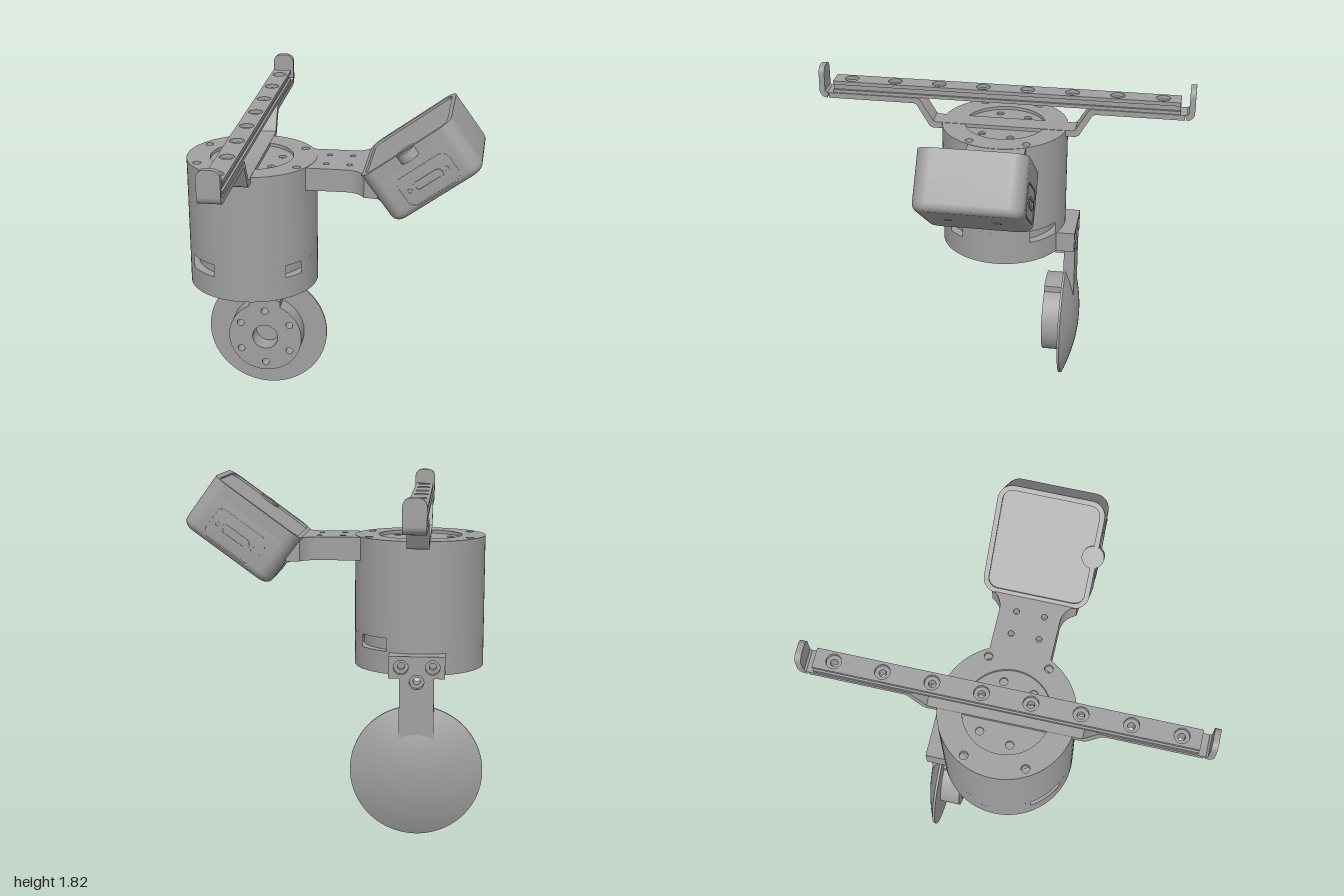
import * as THREE from 'three';
import { toCreasedNormals } from 'three/addons/utils/BufferGeometryUtils.js';

const grey = new THREE.MeshStandardMaterial({ color: 0xa0a0a0, side: THREE.DoubleSide });
grey.name = 'machined grey';

const CX = -0.427; // axis of drum, rail and wheel
const R = 0.337;   // drum and wheel radius

function add(parent, name, geo) {
  const mesh = new THREE.Mesh(toCreasedNormals(geo, 0.5), grey);
  mesh.name = name;
  parent.add(mesh);
  return mesh;
}

// Rounded rectangle centred on (cx, cy)
function roundRect(w, h, r, cx = 0, cy = 0) {
  const s = new THREE.Shape(), x = w / 2 - r, y = h / 2 - r;
  s.absarc(cx + x, cy + y, r, 0, Math.PI / 2);
  s.absarc(cx - x, cy + y, r, Math.PI / 2, Math.PI);
  s.absarc(cx - x, cy - y, r, Math.PI, Math.PI * 1.5);
  s.absarc(cx + x, cy - y, r, Math.PI * 1.5, Math.PI * 2);
  s.closePath();
  return s;
}
const poly = pts => new THREE.Shape(pts.map(p => new THREE.Vector2(...p)));
const circle = (r, x = 0, y = 0) => new THREE.Shape().absarc(x, y, r, 0, Math.PI * 2);

// Cut round holes [x, y, r]
function drill(shape, holes) {
  for (const [x, y, r] of holes) shape.holes.push(new THREE.Path().absarc(x, y, r, 0, Math.PI * 2, true));
  return shape;
}
const extrude = (shape, depth, curveSegments = 12) =>
  new THREE.ExtrudeGeometry(shape, { depth, bevelEnabled: false, curveSegments });
// Horizontal plate: shape is (x, -z), from y0 upward
const flat = (shape, y0, h, seg) => extrude(shape, h, seg).rotateX(-Math.PI / 2).translate(0, y0, 0);
// Side profile: shape is (z, y), extruded across x
const across = (shape, w) => extrude(shape, w).translate(0, 0, -w / 2).rotateY(-Math.PI / 2).scale(1, 1, 1);
const lathe = (pts, seg, start, len) =>
  new THREE.LatheGeometry(pts.map(p => new THREE.Vector2(...p)), seg, start, len);
const ring = (n, r, hole, start = 0) => Array.from({ length: n }, (_, i) => {
  const a = start + i * Math.PI * 2 / n;
  return [r * Math.cos(a), r * Math.sin(a), hole];
});

function buildDrum() {
  const g = new THREE.Group();
  g.name = 'drum';
  g.position.x = CX;
  const wall = (y0, y1) => [[0.29, y0], [R, y0], [R, y1], [0.29, y1]];
  add(g, 'drumLowerWall', lathe(wall(0.85, 0.94), 96));
  add(g, 'drumUpperWall', lathe(wall(1.007, 1.485), 96));
  // Wall between the three windows
  for (const [a, b] of [[56.5, 122.5], [152.5, 303], [333, 399.5]])
    add(g, 'drumWindowWall', lathe(wall(0.94, 1.007), 36, a * Math.PI / 180, (b - a) * Math.PI / 180));
  add(g, 'drumCore', new THREE.CylinderGeometry(0.292, 0.292, 0.56, 64).translate(0, 1.195, 0));
  // Drilled end plates
  const corners = [[0.257, 0.15], [-0.257, 0.15], [0.257, -0.15], [-0.257, -0.15]].map(p => [...p, 0.021]);
  add(g, 'drumTopRing', flat(drill(circle(R), [[0, 0, 0.215], ...corners]), 1.475, 0.029, 48));
  const inner = [[-0.118, 0.106], [0.152, 0.05], [0.12, -0.106], [-0.155, -0.05]].map(p => [...p, 0.02]);
  add(g, 'drumTopDisc', flat(drill(circle(0.216), inner), 1.475, 0.012, 48));
  add(g, 'drumBottomPlate', flat(drill(circle(R), [[0, 0, 0.12], ...ring(4, 0.25, 0.028, Math.PI / 4)]), 0.824, 0.092, 48));
  return g;
}

function buildWheel() {
  const g = new THREE.Group();
  g.name = 'wheel';
  g.position.set(CX, 0.337, 0);
  // Domed disc
  const pts = [[0, 0], [R, 0], [R, 0.012]];
  for (let i = 1; i <= 16; i++) {
    const r = R * (1 - i / 16);
    pts.push([r, 0.012 + 0.073 * (1 - (r / R) ** 2)]);
  }
  add(g, 'domedDisc', lathe(pts, 96).rotateX(-Math.PI / 2).translate(0, 0, -0.345));
  // Hub with bolt circle and raised key at the top
  const hub = new THREE.Shape();
  const a = Math.acos(0.0875 / 0.207), b = Math.acos(0.0875 / 0.24);
  hub.absarc(0, 0, 0.207, Math.PI - a, Math.PI * 2 + a);
  hub.absarc(0, 0, 0.24, b, Math.PI - b);
  hub.closePath();
  drill(hub, [[0, 0, 0.072], ...ring(6, 0.16, 0.02, Math.PI / 6)]);
  add(g, 'hub', extrude(hub, 0.106, 32).translate(0, 0, -0.346));
  return g;
}

function buildHanger() {
  const g = new THREE.Group();
  g.name = 'hanger';
  g.position.x = CX;
  const w = 0.142, n = 0.0875;
  const tee = () => poly([[-n, 0.45], [n, 0.45], [n, 0.824], [w, 0.824], [w, 0.936], [-w, 0.936], [-w, 0.824], [-n, 0.824]]);
  const holes = r => [[-0.08, 0.88, r], [0.08, 0.88, r], [0, 0.805, r]];
  add(g, 'hangerBack', extrude(drill(tee(), holes(0.037)), 0.03).translate(0, 0, -0.405));
  add(g, 'hangerFront', extrude(drill(tee(), holes(0.018)), 0.03).translate(0, 0, -0.375));
  add(g, 'hangerBlock', new THREE.BoxGeometry(w * 2, 0.112, 0.045).translate(0, 0.88, -0.3225));
  add(g, 'hangerTab', extrude(drill(poly([[-0.058, 0.766], [0.058, 0.766], [0.058, 0.83], [-0.058, 0.83]]),
    [[0, 0.805, 0.018]]), 0.055).translate(0, 0, -0.345));
  return g;
}

function buildRail() {
  const g = new THREE.Group();
  g.name = 'railAssembly';
  g.position.x = CX;
  const W = 0.112;
  const zs = [0.118, 0.356, 0.595, 0.832];
  const holes = r => zs.flatMap(z => [[0, z, r], [0, -z, r]]);
  // Grooved rail in stacked layers
  for (const [w, y, h, r] of [[0.1, 1.635, 0.018, 0.018], [0.076, 1.653, 0.028, 0.018], [0.1, 1.681, 0.02, 0.037]])
    add(g, 'rail', flat(drill(poly([[-w / 2, -0.925], [w / 2, -0.925], [w / 2, 0.925], [-w / 2, 0.925]]), holes(r)), y, h, 16));
  // Cranked strap under the rail
  const up = [[0.33, 1.472], [0.385, 1.472], [0.402, 1.482], [0.47, 1.598], [0.485, 1.606], [0.53, 1.606],
    [0.53, 1.635], [0.465, 1.635], [0.45, 1.626], [0.382, 1.512], [0.365, 1.506]];
  const strap = [...up, ...up.map(([z, y]) => [-z, y]).reverse()];
  add(g, 'strapCrank', across(poly(strap), W));
  for (const s of [-1, 1]) {
    const end = new THREE.Group();
    end.name = 'strapEnd';
    end.rotation.y = s < 0 ? Math.PI : 0;
    g.add(end);
    add(end, 'strapPlate', flat(drill(poly([[-W / 2, -0.95], [W / 2, -0.95], [W / 2, -0.53], [-W / 2, -0.53]]),
      [[0, -0.595, 0.018], [0, -0.832, 0.018]]), 1.606, 0.029));
    const bend = new THREE.Shape();
    bend.moveTo(0.95, 1.606);
    bend.absarc(0.96, 1.646, 0.04, -Math.PI / 2, 0);
    bend.lineTo(1, 1.66);
    bend.lineTo(0.97, 1.66);
    bend.lineTo(0.97, 1.645);
    bend.lineTo(0.96, 1.635);
    bend.lineTo(0.95, 1.635);
    add(end, 'strapBend', across(bend, W));
    const lip = new THREE.Shape();
    lip.moveTo(-W / 2, 1.66);
    lip.lineTo(W / 2, 1.66);
    lip.absarc(W / 2 - 0.04, 1.737, 0.04, 0, Math.PI / 2);
    lip.absarc(-W / 2 + 0.04, 1.737, 0.04, Math.PI / 2, Math.PI);
    lip.closePath();
    add(end, 'strapLip', extrude(lip, 0.03).translate(0, 0, 0.97));
  }
  return g;
}

function buildArm() {
  const g = new THREE.Group();
  g.name = 'arm';
  // Neck flaring into the housing
  const plate = () => {
    const s = new THREE.Shape();
    s.moveTo(-0.14, -0.15);
    s.lineTo(0.09, -0.15);
    s.quadraticCurveTo(0.15, -0.155, 0.18, -0.215);
    s.lineTo(0.25, -0.225);
    s.lineTo(0.25, 0.225);
    s.lineTo(0.18, 0.215);
    s.quadraticCurveTo(0.15, 0.16, 0.09, 0.155);
    s.lineTo(-0.14, 0.155);
    s.closePath();
    return s;
  };
  const holes = r => [[-0.03, 0.07, r], [0.09, 0.07, r], [-0.03, -0.07, r], [0.09, -0.07, r]];
  add(g, 'armUpper', flat(drill(plate(), holes(0.015)), 1.44, 0.062));
  add(g, 'armLower', flat(drill(plate(), holes(0.03)), 1.383, 0.057));
  const fillet = new THREE.Shape();
  fillet.moveTo(0.17, 1.383);
  fillet.lineTo(0.2, 1.383);
  fillet.quadraticCurveTo(0.265, 1.38, 0.305, 1.325);
  fillet.lineTo(0.35, 1.42);
  fillet.lineTo(0.2, 1.43);
  add(g, 'armFillet', extrude(fillet, 0.4).translate(0, 0, -0.2));
  return g;
}

function buildHousing() {
  const g = new THREE.Group();
  g.name = 'housing';
  g.position.set(0.472, 1.537, 0);
  g.rotation.z = Math.PI / 5;
  const L = 0.54, D = 0.53, H = 0.149;
  // Body with rounded lower edges
  const body = new THREE.ExtrudeGeometry(roundRect(L, D, 0.075), {
    depth: 0.19, bevelThickness: 0.04, bevelSize: 0.04, bevelOffset: -0.04, bevelSegments: 5, curveSegments: 8 });
  add(g, 'housingBody', body.rotateX(-Math.PI / 2).translate(0, -H + 0.04, 0));
  add(g, 'housingUpper', flat(roundRect(L, D, 0.075), 0, H - 0.012));
  const rim = roundRect(L, D, 0.075);
  rim.holes.push(roundRect(L - 0.05, D - 0.05, 0.05));
  add(g, 'housingRim', flat(rim, H - 0.012, 0.012));
  add(g, 'rimTab', flat(circle(0.055, 0, -0.245), H - 0.05, 0.046, 24));
  // Connector panels on both sides
  for (const s of [-1, 1]) {
    const panel = new THREE.Group();
    panel.name = 'connectorPanel';
    panel.position.set(0.01, -0.04, s * D / 2);
    panel.rotation.y = s < 0 ? Math.PI : 0;
    g.add(panel);
    const frame = roundRect(0.31, 0.17, 0.045);
    frame.holes.push(roundRect(0.295, 0.155, 0.038));
    add(panel, 'panelFrame', extrude(frame, 0.003));
    const slot = roundRect(0.17, 0.055, 0.025);
    slot.holes.push(roundRect(0.14, 0.03, 0.013));
    add(panel, 'connector', extrude(slot, 0.006));
    for (const x of [-0.108, 0.108]) add(panel, 'panelScrew', extrude(drill(circle(0.014, x), [[x, 0, 0.008]]), 0.004));
  }
  // Screw seats underneath
  for (const z of [-0.12, 0.12]) add(g, 'screwSeat', flat(drill(circle(0.02, 0.02, z), [[0.02, z, 0.013]]), -H - 0.003, 0.004));
  return g;
}

export function createModel() {
  const model = new THREE.Group();
  model.name = 'instrument';
  model.add(buildDrum(), buildWheel(), buildHanger(), buildRail(), buildArm(), buildHousing());
  return model;
}
